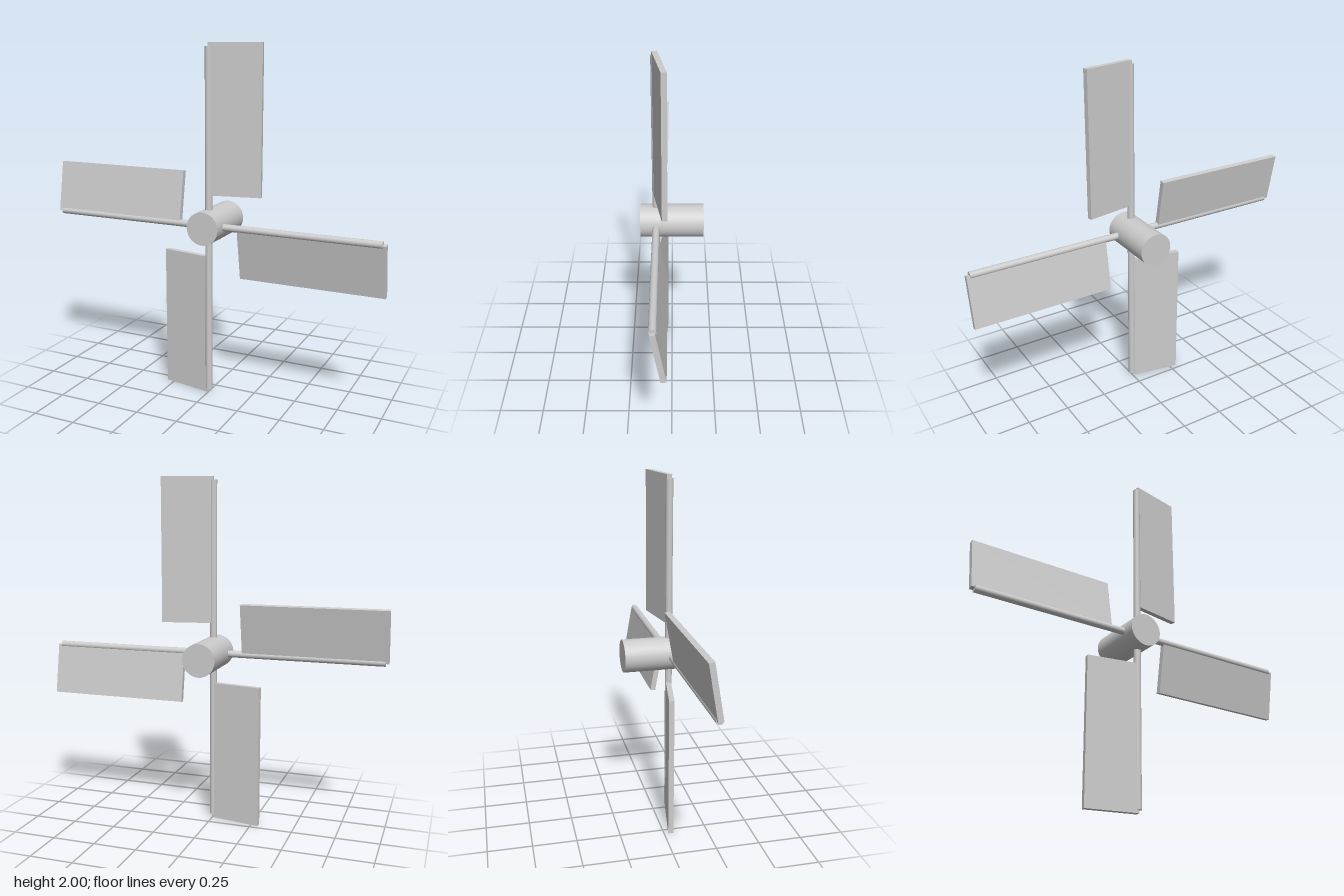
import * as THREE from 'three';

const HUB_RADIUS = 0.094, HUB_LENGTH = 0.355;
const SPAR_RADIUS = 0.02, SPAR_LENGTH = 0.98, SPAR_Z = 0.09;
const BLADE_WIDTH = 0.298, BLADE_THICKNESS = 0.03, BLADE_ROOT = 0.176, BLADE_TIP = 1;
const PITCH = THREE.MathUtils.degToRad(10);

export function createModel() {
  const material = new THREE.MeshStandardMaterial({ color: 0xcccccc });
  const model = new THREE.Group();
  model.name = 'windmillRotor';

  const addMesh = (parent, name, geometry) => {
    const mesh = new THREE.Mesh(geometry, material);
    mesh.name = name;
    parent.add(mesh);
    return mesh;
  };

  // Hub: cylinder along the rotation axis
  const hubGeometry = new THREE.CylinderGeometry(HUB_RADIUS, HUB_RADIUS, HUB_LENGTH, 40);
  addMesh(model, 'hub', hubGeometry.rotateX(Math.PI / 2)).position.y = 1;

  // Spar: round rod running outward from the hub axis
  const sparGeometry = new THREE.CylinderGeometry(SPAR_RADIUS, SPAR_RADIUS, SPAR_LENGTH, 20);
  sparGeometry.translate(0, SPAR_LENGTH / 2, 0);

  // Blade: flat board whose leading edge lies on the spar axis, pitched backwards
  const bladeGeometry = new THREE.BoxGeometry(BLADE_WIDTH, BLADE_TIP - BLADE_ROOT, BLADE_THICKNESS);
  bladeGeometry.translate(BLADE_WIDTH / 2, (BLADE_TIP + BLADE_ROOT) / 2, 0).rotateY(PITCH);

  // Four sails, a quarter turn apart
  ['top', 'left', 'bottom', 'right'].forEach((side, i) => {
    const sail = new THREE.Group();
    sail.name = `${side}Sail`;
    sail.position.set(0, 1, SPAR_Z);
    sail.rotation.z = -i * Math.PI / 2;
    addMesh(sail, `${side}Spar`, sparGeometry);
    addMesh(sail, `${side}Blade`, bladeGeometry);
    model.add(sail);
  });

  return model;
}
